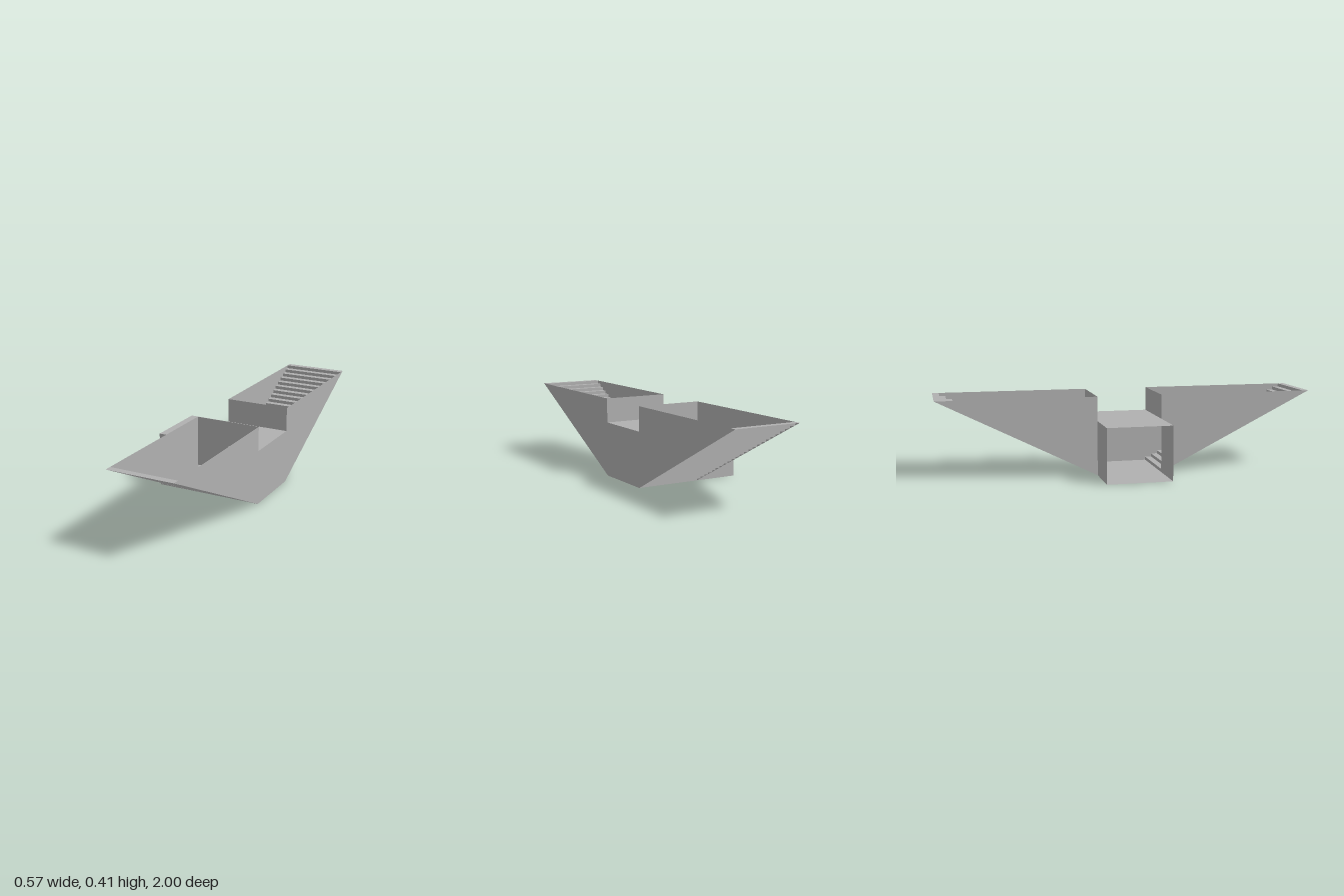
import * as THREE from 'three';
import { mergeGeometries } from 'three/addons/utils/BufferGeometryUtils.js';

const HALF = 0.287;      // half width of the hall in x
const INNER = -0.057;    // x of the inner stair wall
const HALL_Z = 0.172;    // half depth of the hall
const HALL_H = 0.287;    // hall height
const TOP = 0.415;       // ground level at the top of the stairs
const STEPS = 24;
const STAIR_W = HALF - INNER;
const STAIR_X = (HALF + INNER) / 2;

export function createModel() {
  const model = new THREE.Group();
  model.name = 'underpass';
  const concrete = new THREE.MeshStandardMaterial({ color: 0xb0b0b0, side: THREE.DoubleSide });
  concrete.name = 'concrete grey';

  const add = (parent, name, geometry) => {
    const mesh = new THREE.Mesh(geometry, concrete);
    mesh.name = name;
    parent.add(mesh);
    return mesh;
  };

  // Flat wall at a given x, outlined by [z, y] points and facing +x or -x
  const sideWall = (name, x, points, facing) => {
    const shape = new THREE.Shape(points.map(([z, y]) => new THREE.Vector2(-facing * z, y)));
    add(model, name, new THREE.ShapeGeometry(shape).rotateY(facing * Math.PI / 2)).position.x = x;
  };

  // Hall floor and roof; the -x end stays open
  const slab = () => new THREE.PlaneGeometry(2 * HALF, 2 * HALL_Z);
  add(model, 'hallFloor', slab().rotateX(Math.PI / 2));
  add(model, 'hallRoof', slab().rotateX(-Math.PI / 2)).position.y = HALL_H;

  // Long outer wall, notched over the hall
  sideWall('outerWall', HALF, [
    [-HALL_Z, 0], [HALL_Z, 0], [1, TOP], [HALL_Z, TOP],
    [HALL_Z, HALL_H], [-HALL_Z, HALL_H], [-HALL_Z, TOP], [-1, TOP],
  ], 1);

  // Zigzag of risers and treads, climbing towards +z
  const rise = TOP / STEPS, run = (1 - HALL_Z) / STEPS;
  const pieces = [];
  for (let i = 0; i < STEPS; i++) {
    const z = HALL_Z + i * run, y = i * rise;
    pieces.push(new THREE.PlaneGeometry(STAIR_W, rise).rotateY(Math.PI).translate(0, y + rise / 2, z));
    pieces.push(new THREE.PlaneGeometry(STAIR_W, run).rotateX(-Math.PI / 2).translate(0, y + rise, z + run / 2));
  }
  const stairGeometry = mergeGeometries(pieces);

  for (const s of [1, -1]) {
    const end = s > 0 ? 'front' : 'back';

    // Stairs with the header above the passage
    const flight = new THREE.Group();
    flight.name = end + 'Flight';
    flight.position.x = STAIR_X;
    flight.rotation.y = s > 0 ? 0 : Math.PI;
    add(flight, end + 'Stairs', stairGeometry);
    add(flight, end + 'Header', new THREE.PlaneGeometry(STAIR_W, TOP - HALL_H))
      .position.set(0, (TOP + HALL_H) / 2, HALL_Z);
    model.add(flight);

    // Triangular inner wall beside the stairs
    sideWall(end + 'InnerWall', INNER, [[s * HALL_Z, 0], [s, TOP], [s * HALL_Z, TOP]], -1);

    // Hall wall beside the stair passage
    const hallWall = add(model, end + 'HallWall', new THREE.PlaneGeometry(INNER + HALF, HALL_H));
    hallWall.position.set((INNER - HALF) / 2, HALL_H / 2, s * HALL_Z);
    hallWall.rotation.y = s > 0 ? 0 : Math.PI;
  }
  return model;
}
